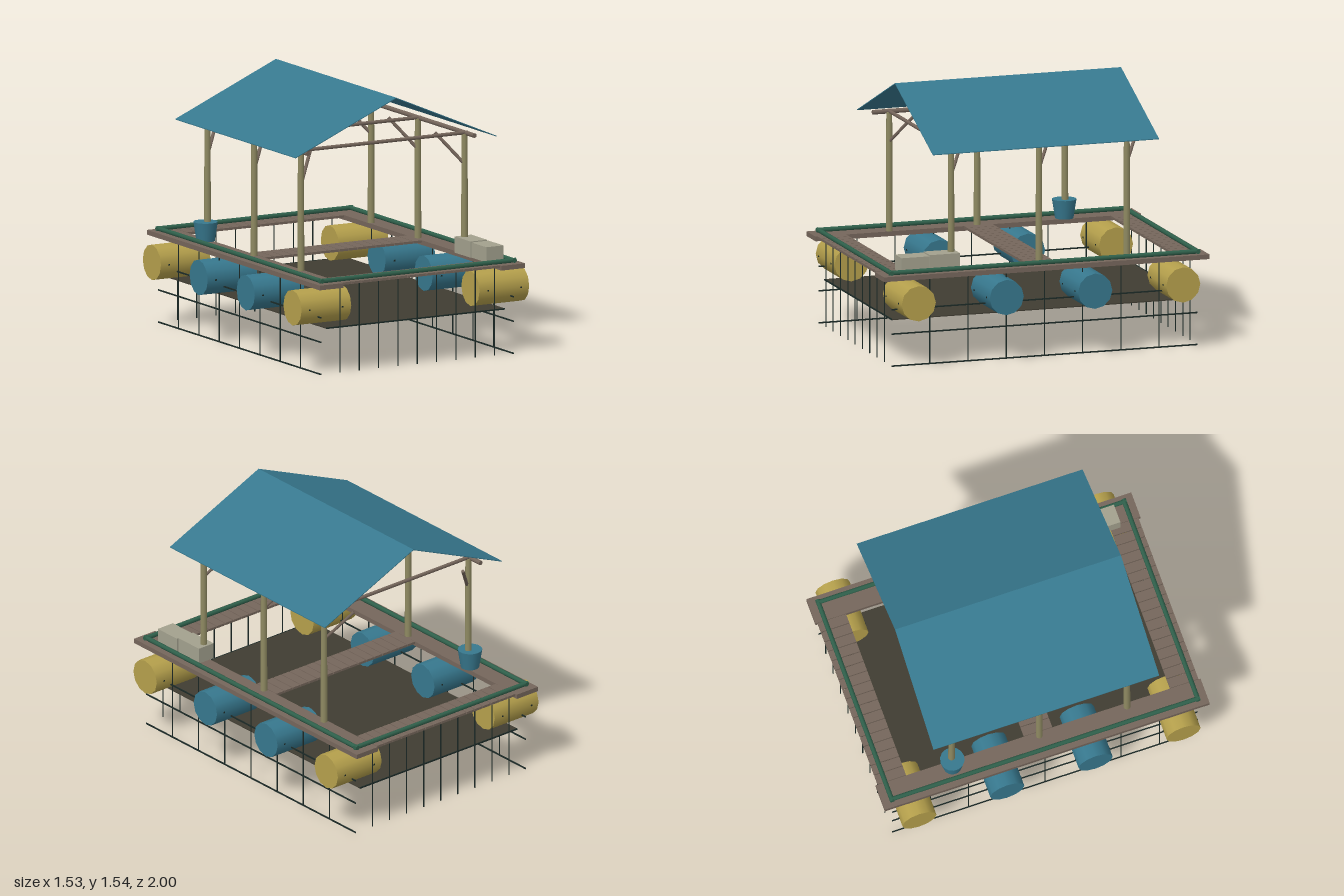
import * as THREE from 'three';

export function createModel() {
  const model = new THREE.Group();
  const mat = (name, color, side = THREE.FrontSide) => {
    const m = new THREE.MeshStandardMaterial({ color, side });
    m.name = name;
    return m;
  };
  const wood = mat('deck wood', 0x75665b);
  const bamboo = mat('post bamboo', 0x8f8a62);
  const blue = mat('blue plastic', 0x37788e, THREE.DoubleSide);
  const yellow = mat('yellow plastic', 0xb5a04c);
  const green = mat('green pipe', 0x2f604b);
  const netting = mat('netting', 0x403d32);
  const rope = mat('dark rope', 0x1c2a27);
  const crateGrey = mat('crate grey', 0xa3a18e);

  const group = (name) => {
    const g = new THREE.Group();
    g.name = name;
    model.add(g);
    return g;
  };
  const add = (parent, name, geo, material, x = 0, y = 0, z = 0) => {
    const m = new THREE.Mesh(geo, material);
    m.name = name;
    m.position.set(x, y, z);
    parent.add(m);
    return m;
  };
  const box = (parent, name, material, w, h, d, x, y, z) =>
    add(parent, name, new THREE.BoxGeometry(w, h, d), material, x, y, z);
  // round pole between two points
  const pole = (parent, name, material, a, b, r, sides = 8, rTop = r) => {
    const p = new THREE.Vector3(...a), q = new THREE.Vector3(...b);
    const m = add(parent, name, new THREE.CylinderGeometry(rTop, r, p.distanceTo(q), sides), material);
    m.position.copy(p).add(q).multiplyScalar(0.5);
    m.quaternion.setFromUnitVectors(new THREE.Vector3(0, 1, 0), q.sub(p).normalize());
    return m;
  };

  // Deck: long side boards and three plank walkways
  const deck = group('deck');
  for (const s of [-1, 1]) box(deck, 'sideWalkway', wood, 0.16, 0.028, 2, s * 0.61, 0.53, 0);
  const planks = 17, pitch = 1.06 / planks;
  for (const z of [-0.9, 0, 0.9]) {
    for (let i = 0; i < planks; i++) {
      box(deck, 'plank', wood, pitch - 0.005, 0.014, 0.175, -0.53 + (i + 0.5) * pitch, 0.538, z);
    }
    for (const e of [-0.06, 0.06]) box(deck, 'plankBearer', wood, 1.06, 0.004, 0.02, 0, 0.529, z + e);
  }

  // Pipe frame around the deck edge
  const rail = group('pipeFrame');
  for (const s of [-1, 1]) {
    pole(rail, 'sidePipe', green, [s * 0.645, 0.557, -0.955], [s * 0.645, 0.557, 0.955], 0.014);
    pole(rail, 'endPipe', green, [-0.66, 0.557, s * 0.942], [0.66, 0.557, s * 0.942], 0.014);
  }

  // Floating drums with small dark plugs
  const drums = group('drums');
  for (const s of [-1, 1]) {
    for (const z of [-0.813, -0.272, 0.272, 0.813]) {
      const m = Math.abs(z) > 0.5 ? yellow : blue;
      pole(drums, 'drum', m, [s * 0.431, 0.39, z], [s * 0.765, 0.39, z], 0.105, 12);
      for (const x of [0.49, 0.71]) for (const side of [-1, 1]) {
        box(drums, 'drumPlug', rope, 0.009, 0.009, 0.009, s * x, 0.387, z + side * 0.103);
      }
    }
  }

  // Flat net floor under the deck
  const net = group('net');
  box(net, 'netFloor', netting, 1.2, 0.006, 1.84, 0, 0.27, 0);
  for (const s of [-1, 1]) {
    box(net, 'netEdge', rope, 1.2, 0.008, 0.006, 0, 0.27, s * 0.92);
  }

  // Hanging ropes and long side lines
  const ropes = group('ropes');
  for (const s of [-1, 1]) {
    for (let i = -4; i <= 4; i++) {
      box(ropes, 'endRope', rope, 0.005, 0.53, 0.005, i * 0.13, 0.27, s * 0.94);
    }
    for (let i = -3; i <= 3; i++) {
      box(ropes, 'sideRope', rope, 0.005, 0.53, 0.005, s * 0.648, 0.27, i * 0.235);
    }
    for (const y of [0.005, 0.195, 0.34]) {
      box(ropes, 'sideLine', rope, 0.006, 0.008, 1.88, s * 0.648, y, 0);
    }
  }

  // Posts, braces and beams
  const frame = group('shelterFrame');
  for (const z of [-0.54, 0, 0.54]) {
    for (const s of [-1, 1]) {
      pole(frame, 'post', bamboo, [s * 0.55, 0.54, z], [s * 0.55, 1.25, z], 0.021, 10, 0.018);
      pole(frame, 'brace', wood, [s * 0.54, 1.08, z], [s * 0.415, 1.25, z - 0.11], 0.01, 6);
    }
    pole(frame, 'crossBeam', wood, [-0.57, 1.255, z], [0.57, 1.255, z], 0.011);
  }
  for (const s of [-1, 1]) {
    pole(frame, 'longBeam', wood, [s * 0.56, 1.252, -0.64], [s * 0.56, 1.252, 0.64], 0.014);
  }

  // Thin gable roof
  const eave = [0.675, 1.245], ridge = 1.54, t = 0.005;
  const profile = new THREE.Shape([
    [-eave[0], eave[1]], [0, ridge - t], [eave[0], eave[1]],
    [eave[0], eave[1] + t], [0, ridge], [-eave[0], eave[1] + t],
  ].map(([x, y]) => new THREE.Vector2(x, y)));
  const roof = new THREE.ExtrudeGeometry(profile, { depth: 1.39, bevelEnabled: false });
  add(group('shelterRoof'), 'roofSheets', roof, blue, 0, 0, -0.695);

  // Bucket and two crates on the deck
  const cargo = group('cargo');
  pole(cargo, 'bucket', blue, [-0.563, 0.544, -0.54], [-0.563, 0.657, -0.54], 0.054, 14, 0.072);
  box(cargo, 'frontCrate', crateGrey, 0.115, 0.09, 0.172, 0.563, 0.59, 0.783);
  box(cargo, 'rearCrate', crateGrey, 0.112, 0.096, 0.185, 0.558, 0.592, 0.6);

  return model;
}
